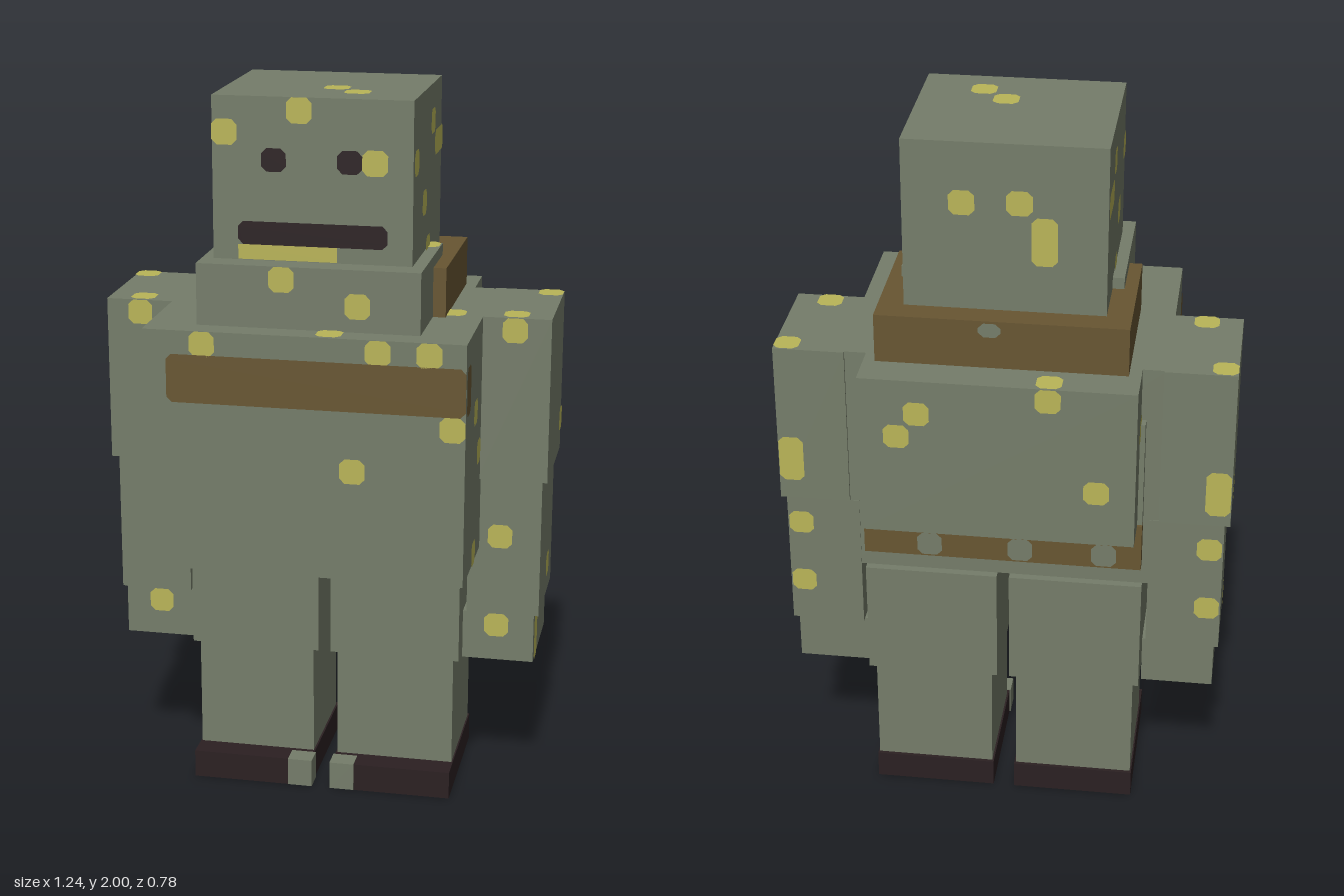
import * as THREE from 'three';

const material = (name, color) => {
  const m = new THREE.MeshStandardMaterial({ color });
  m.name = name;
  return m;
};

export function createModel() {
  const skin = material('grey green skin', 0x757d6a);
  const moss = material('yellow spots', 0xbab558);
  const leather = material('brown leather', 0x685632);
  const dark = material('dark brown', 0x2b2022);
  const model = new THREE.Group();
  model.name = 'blockFigure';

  // Box given by its limits on each axis
  const block = (name, mat, [x0, x1], [y0, y1], [z0, z1]) => {
    const mesh = new THREE.Mesh(new THREE.BoxGeometry(x1 - x0, y1 - y0, z1 - z0), mat);
    mesh.position.set((x0 + x1) / 2, (y0 + y1) / 2, (z0 + z1) / 2);
    mesh.name = name;
    model.add(mesh);
  };

  // Flat patch with clipped corners, laid on one face at depth d
  const patch = (name, mat, face, u, v, d, w = 0.068, h = 0.068, cut = 0.014) => {
    const a = w / 2, b = h / 2, c = cut;
    const shape = new THREE.Shape([
      [-a + c, -b], [a - c, -b], [a, -b + c], [a, b - c],
      [a - c, b], [-a + c, b], [-a, b - c], [-a, -b + c],
    ].map(p => new THREE.Vector2(...p)));
    const mesh = new THREE.Mesh(new THREE.ShapeGeometry(shape), mat);
    const e = d + Math.sign(d) * 0.003;
    if (face === 'front') mesh.position.set(u, v, e);
    if (face === 'back') { mesh.position.set(u, v, e); mesh.rotation.y = Math.PI; }
    if (face === 'side') { mesh.position.set(e, v, u); mesh.rotation.y = Math.sign(d) * Math.PI / 2; }
    if (face === 'top') { mesh.position.set(u, e, v); mesh.rotation.x = -Math.PI / 2; }
    mesh.name = name;
    model.add(mesh);
  };

  // Head, neck and collar
  block('head', skin, [-0.268, 0.266], [1.45, 2], [-0.215, 0.25]);
  block('neck', skin, [-0.3, 0.3], [1.4, 1.567], [-0.05, 0.317]);
  block('collar', leather, [-0.335, 0.335], [1.4, 1.535], [-0.285, 0.113]);

  // Torso, back hump and the belt below it
  block('torso', skin, [-0.432, 0.432], [0.735, 1.4], [-0.243, 0.385]);
  block('backHump', skin, [-0.368, 0.366], [0.94, 1.4], [-0.385, -0.2]);
  block('lowerBack', skin, [-0.382, 0.382], [0.94, 1.25], [-0.272, -0.2]);
  block('belt', leather, [-0.382, 0.382], [0.8, 0.94], [-0.28, -0.2]);

  // Limbs, mirrored
  for (const s of [1, -1]) {
    const span = (a, b) => (s > 0 ? [a, b] : [-b, -a]);
    block('upperArm', skin, span(0.425, 0.618), [0.94, 1.4], [-0.25, 0.083]);
    block('lowerArm', skin, span(0.4, 0.603), [0.54, 0.94], [-0.245, 0.063]);
    block('hand', skin, span(0.39, 0.59), [0.4, 0.54], [-0.23, 0.062]);
    block('thigh', skin, span(0.017, 0.385), [0.4, 0.735], [-0.265, 0.1]);
    block('shin', skin, span(0.035, 0.368), [0.07, 0.4], [-0.245, 0.085]);
    block('shoe', dark, span(0.03, 0.372), [0, 0.08], [-0.255, 0.157]);
    block('bareToe', skin, span(0.026, 0.096), [0.001, 0.081], [0.1, 0.16]);
  }

  // Face
  patch('eye', dark, 'front', -0.103, 1.835, 0.25, 0.066, 0.062);
  patch('eye', dark, 'front', 0.099, 1.835, 0.25, 0.066, 0.062);
  patch('mouth', dark, 'front', 0, 1.64, 0.25, 0.4, 0.062);
  patch('lipMoss', moss, 'front', -0.067, 1.589, 0.25, 0.266, 0.04, 0.001);

  // Chest band, wrapping onto both sides
  patch('chestBand', leather, 'front', 0.032, 1.27, 0.385, 0.8, 0.132);
  for (const d of [0.432, -0.432]) patch('chestBand', leather, 'side', 0.35, 1.27, d, 0.07, 0.132);

  // Spots on front faces: x, y, depth
  [
    [-0.235, 1.905, 0.25], [-0.035, 1.966, 0.25], [0.166, 1.835, 0.25],
    [-0.07, 1.533, 0.317], [0.133, 1.47, 0.317],
    [-0.27, 1.366, 0.385], [0.2, 1.366, 0.385], [0.335, 1.366, 0.385],
    [0.398, 1.17, 0.385], [0.133, 1.04, 0.385],
    [-0.523, 1.366, 0.083], [0.52, 1.366, 0.083],
    [-0.49, 0.77, 0.063], [0.49, 0.77, 0.063],
    [-0.487, 0.505, 0.062], [0.485, 0.505, 0.062],
  ].forEach(([x, y, z]) => patch('frontSpot', moss, 'front', x, y, z));

  // Spots on both sides: z, y, depth, width, height
  [
    [0.218, 1.835, 0.267], [-0.05, 1.902, 0.267], [-0.148, 1.835, 0.267, 0.134],
    [0.085, 1.705, 0.267], [0.02, 1.57, 0.267],
    [0.21, 1.17, 0.432], [0.14, 1.04, 0.432], [0.21, 0.77, 0.432],
    [-0.28, 1.24, 0.367], [-0.212, 1.04, 0.618],
    [-0.115, 0.635, 0.603], [0.028, 0.472, 0.59, 0.068, 0.136],
  ].forEach(([z, y, d, w, h]) => {
    for (const s of [1, -1]) patch('sideSpot', moss, 'side', z, y, s * d, w, h);
  });

  // Spots on back faces: x, y, depth, width, height
  [
    [-0.04, 1.84, -0.215], [0.11, 1.835, -0.215], [-0.105, 1.735, -0.215, 0.068, 0.134],
    [-0.265, 1.1, -0.385], [0.21, 1.305, -0.385], [0.265, 1.235, -0.385], [-0.135, 1.366, -0.385],
    [0.582, 1.065, -0.25, 0.068, 0.134], [-0.582, 1.04, -0.25, 0.068, 0.134],
    [0.565, 0.86, -0.245], [-0.565, 0.86, -0.245], [0.565, 0.67, -0.245], [-0.565, 0.67, -0.245],
  ].forEach(([x, y, z, w, h]) => patch('backSpot', moss, 'back', x, y, z, w, h));

  // Worn patches on the leather
  patch('collarWear', skin, 'back', 0.03, 1.51, -0.285, 0.06, 0.04);
  for (const x of [-0.28, -0.05, 0.2]) patch('beltWear', skin, 'back', x, 0.84, -0.28);

  // Spots on top faces: x, z, height
  [
    [0.033, 0.083, 2], [0.1, 0.147, 2], [0.264, -0.015, 1.567],
    [0.065, 0.35, 1.4], [0.35, 0.065, 1.4], [-0.135, -0.35, 1.4],
    [-0.584, -0.216, 1.4], [0.584, -0.216, 1.4], [-0.52, 0.048, 1.4], [0.52, 0.048, 1.4],
  ].forEach(([x, z, y]) => patch('topSpot', moss, 'top', x, z, y));

  return model;
}
